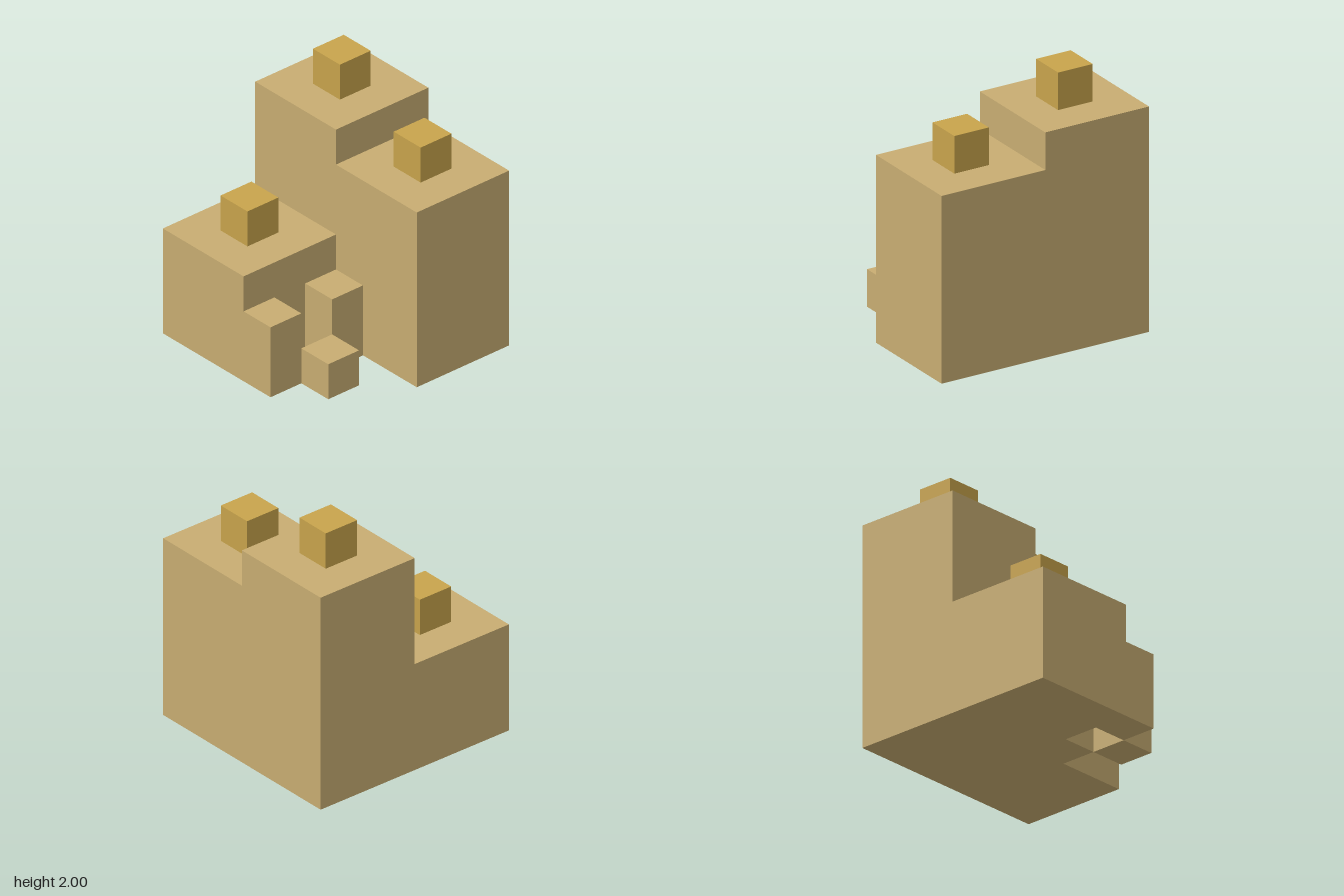
import * as THREE from 'three';

const U = 2 / 7; // one block cell

export function createModel() {
  const model = new THREE.Group();
  model.name = 'steppedTowers';

  const sandstone = new THREE.MeshStandardMaterial({ color: 0xc8ad72 });
  sandstone.name = 'sandstone';
  const gold = new THREE.MeshStandardMaterial({ color: 0xc8a44c });
  gold.name = 'gold';

  // Block given by its lowest corner and size, both in cells
  function block(name, material, [x, y, z], [w, h, d]) {
    const mesh = new THREE.Mesh(new THREE.BoxGeometry(w * U, h * U, d * U), material);
    mesh.position.set((x + w / 2) * U, (y + h / 2) * U, (z + d / 2) * U);
    mesh.name = name;
    model.add(mesh);
  }

  // Three square towers, each topped by a centred gold cube
  const towers = [
    ['tallTower', -3, -3, 6],
    ['middleTower', 0, -3, 5],
    ['lowTower', -3, 0, 3],
  ];
  for (const [name, x, z, height] of towers) {
    block(name, sandstone, [x, 0, z], [3, height, 3]);
    block(name + 'Cap', gold, [x + 1, height, z + 1], [1, 1, 1]);
  }

  // Small posts around the open cell in the front corner
  const posts = [
    ['innerPost', 0, 0, 2],
    ['frontPost', 0, 2, 2],
    ['stepPost', 1, 1, 1],
  ];
  for (const [name, x, z, height] of posts) {
    block(name, sandstone, [x, 0, z], [1, height, 1]);
  }

  return model;
}
